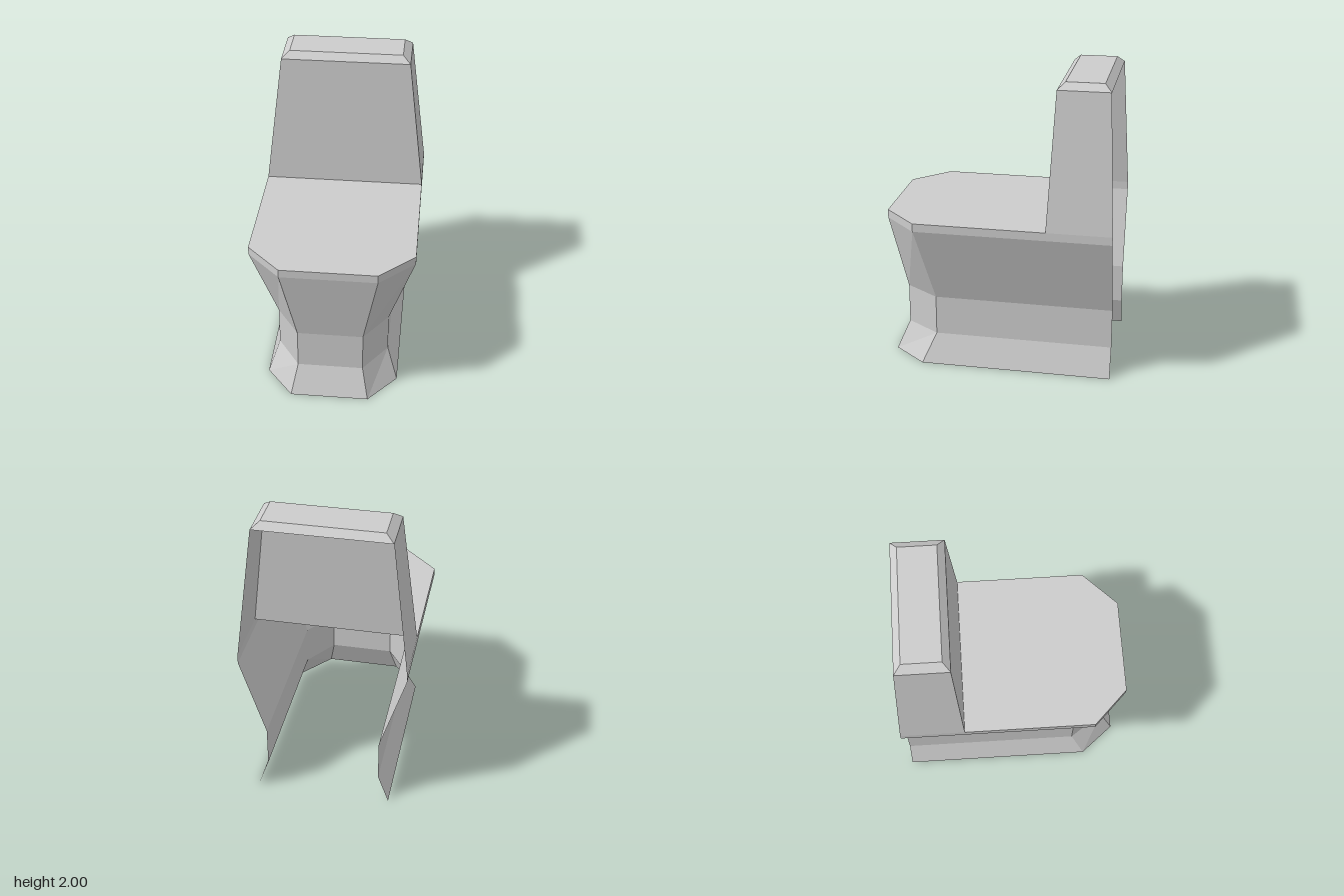
import * as THREE from 'three';

const grey = new THREE.MeshStandardMaterial({ color: 0xcccccc, side: THREE.DoubleSide, flatShading: true });
grey.name = 'light grey';

const BACK = -0.763;

// Open cross-section of the bowl: back right, round the front, back left
const bowlRing = (y, x, flat, zCorner, zFront, zBack = BACK) => [
  [-x, y, zBack], [-x, y, zCorner], [-flat, y, zFront],
  [flat, y, zFront], [x, y, zCorner], [x, y, zBack],
];

// Open cross-section of the tank: right side, front, left side
const tankRing = (y, x, zFront, zBack) => [[-x, y, zBack], [-x, y, zFront], [x, y, zFront], [x, y, zBack]];

// Skin between stacked cross-sections, optionally closing each loop
function loft(rings, closed = false) {
  const p = [];
  for (let r = 0; r + 1 < rings.length; r++) {
    const lo = rings[r], hi = rings[r + 1], n = lo.length;
    for (let i = 0; i < (closed ? n : n - 1); i++) {
      const j = (i + 1) % n;
      p.push(...lo[i], ...lo[j], ...hi[j], ...lo[i], ...hi[j], ...hi[i]);
    }
  }
  return p;
}

// Flat lid over one convex cross-section
function lid(ring) {
  const p = [];
  for (let i = 1; i + 1 < ring.length; i++) p.push(...ring[0], ...ring[i], ...ring[i + 1]);
  return p;
}

function part(name, positions) {
  const g = new THREE.BufferGeometry();
  g.setAttribute('position', new THREE.Float32BufferAttribute(positions, 3));
  g.computeVertexNormals();
  const mesh = new THREE.Mesh(g, grey);
  mesh.name = name;
  return mesh;
}

export function createModel() {
  const group = new THREE.Group();
  group.name = 'toilet';

  // Hollow bowl and foot, open at the back and underneath
  const rim = bowlRing(1.0, 0.543, 0.315, 0.535, 0.763);
  group.add(part('bowl', loft([
    bowlRing(0, 0.445, 0.26, 0.52, 0.747),
    bowlRing(0.2, 0.374, 0.218, 0.432, 0.662),
    bowlRing(0.47, 0.374, 0.218, 0.432, 0.662),
    rim,
  ])));

  // Seat edge and flat seat, which stops at the tank front
  group.add(part('seatEdge', loft([rim, bowlRing(1.055, 0.543, 0.315, 0.535, 0.763)])));
  group.add(part('seat', lid(bowlRing(1.055, 0.543, 0.315, 0.535, 0.763, -0.335))));

  // Tapered tank without a back, closed by a bevelled top
  const shoulder = tankRing(1.957, 0.433, -0.378, -0.718);
  const top = tankRing(2, 0.38, -0.425, -0.672);
  group.add(part('tank', loft([tankRing(1.055, 0.543, -0.335, BACK), shoulder])));
  group.add(part('tankLid', [...loft([shoulder, top], true), ...lid(top)]));

  return group;
}
